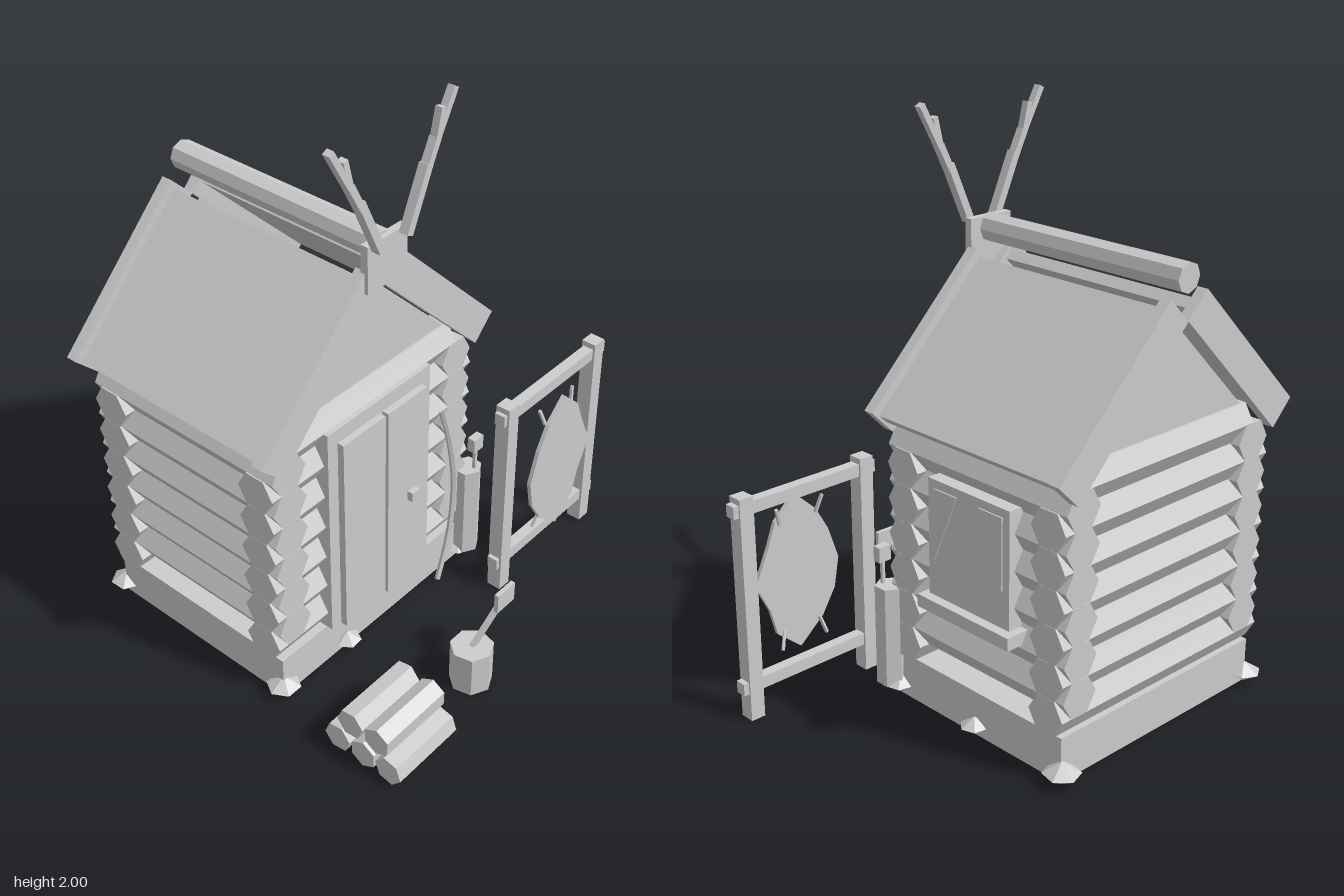
import * as THREE from 'three';

const material = new THREE.MeshStandardMaterial({ color: 0xcccccc, flatShading: true });
material.name = 'plain grey';

const CX = -0.215, CZ = -0.245; // cabin centre

export function createModel() {
  const model = new THREE.Group();
  model.name = 'logCabinCamp';

  const group = (name) => {
    const g = new THREE.Group();
    g.name = name;
    model.add(g);
    return g;
  };
  const add = (parent, name, geo, x = 0, y = 0, z = 0) => {
    const m = new THREE.Mesh(geo, material);
    m.name = name;
    m.position.set(x, y, z);
    parent.add(m);
    return m;
  };
  // box given by its limits
  const box = (parent, name, x0, x1, y0, y1, z0, z1) =>
    add(parent, name, new THREE.BoxGeometry(x1 - x0, y1 - y0, z1 - z0), (x0 + x1) / 2, (y0 + y1) / 2, (z0 + z1) / 2);
  // square bar between two points
  const bar = (parent, name, a, b, w, d = w) => {
    const p = new THREE.Vector3(...a), q = new THREE.Vector3(...b);
    const m = add(parent, name, new THREE.BoxGeometry(w, p.distanceTo(q), d));
    m.position.copy(p).add(q).multiplyScalar(0.5);
    m.quaternion.setFromUnitVectors(new THREE.Vector3(0, 1, 0), q.sub(p).normalize());
    return m;
  };
  const logX = (r, len, sides = 6, turn = 0) =>
    new THREE.CylinderGeometry(r, r, len, sides).rotateY(turn).rotateZ(Math.PI / 2);
  const logZ = (r, len, sides = 6, turn = Math.PI / 6) =>
    new THREE.CylinderGeometry(r, r, len, sides).rotateY(turn).rotateX(Math.PI / 2);
  const extrude = (pts, depth) => new THREE.ExtrudeGeometry(
    new THREE.Shape(pts.map((p) => new THREE.Vector2(...p))), { depth, bevelEnabled: false });

  // hollow plinth with raised floor
  const base = group('base');
  for (const x of [-0.68, 0.23]) box(base, 'sideSkirt', x, x + 0.02, 0, 0.16, -0.63, 0.15);
  for (const z of [-0.63, 0.13]) box(base, 'endSkirt', -0.66, 0.23, 0, 0.16, z, z + 0.02);
  box(base, 'floor', -0.66, 0.23, 0.13, 0.16, -0.61, 0.13);

  // foundation stones
  const stones = group('foundationStones');
  [[-0.67, 0.14, 0.06], [0.25, 0.14, 0.065], [-0.67, -0.635, 0.06], [0.25, -0.635, 0.065],
    [-0.375, 0.16, 0.05], [0.26, -0.245, 0.05]].forEach(([x, z, r], i) => {
    const geo = new THREE.SphereGeometry(r, 6, 2).rotateY(i * 0.8).scale(1, 0.65, 1);
    add(stones, 'stone', geo, x, 0.04, z);
  });

  // interlocked hexagonal wall logs
  const walls = group('walls');
  for (let i = 0; i < 7; i++) {
    const y = 0.227 + 0.127 * i;
    for (const s of [-1, 1]) {
      add(walls, 'crossLog', logX(0.073, i < 6 ? 0.965 : 0.8), CX, y, CZ + s * 0.33);
      if (i < 6) add(walls, 'sideLog', logZ(0.073, 0.805), CX + s * 0.405, y + 0.0635, CZ);
    }
  }

  // roof
  const roof = group('roof');
  for (const s of [-1, 1]) {
    const panel = add(roof, 'roofPanel', new THREE.BoxGeometry(0.63, 0.04, 0.8), CX + s * 0.284, 1.243, CZ);
    panel.rotation.z = -s * Math.PI / 4;
    for (const z of [0.17, -0.66]) {
      const barge = add(roof, 'bargeBoard', new THREE.BoxGeometry(0.658, 0.12, 0.04), CX + s * 0.275, 1.24, z);
      barge.rotation.z = -s * Math.PI / 4;
    }
    add(roof, 'gable', extrude([[-0.4, 1.03], [0.4, 1.03], [0, 1.43]], 0.04), CX, 0, CZ + s * 0.34 - 0.02);
  }
  add(roof, 'ridgePole', logZ(0.05, 0.86, 8, 0), CX, 1.565, CZ);

  // antlers on a plaque
  const trophy = group('antlerTrophy');
  box(trophy, 'plaque', -0.305, -0.125, 1.44, 1.605, 0.175, 0.203);
  for (const s of [-1, 1]) {
    const p = (dx, y) => [CX + s * dx, y, 0.221];
    bar(trophy, 'antlerBeam', p(0.06, 1.59), p(0.15, 1.79), 0.028, 0.034);
    bar(trophy, 'antlerTip', p(0.14, 1.765), p(0.268, 1.995), 0.022, 0.026);
    bar(trophy, 'antlerTine', p(0.145, 1.77), p(0.19, 1.86), 0.024, 0.03);
    bar(trophy, 'antlerTineTip', p(0.185, 1.84), p(0.212, 1.95), 0.02, 0.026);
  }

  // door
  const door = group('door');
  box(door, 'doorFrame', -0.465, 0.03, 0.16, 0.99, 0.06, 0.175);
  box(door, 'leftPlank', -0.42, -0.22, 0.16, 0.937, 0.17, 0.2);
  box(door, 'rightPlank', -0.207, -0.015, 0.16, 0.937, 0.17, 0.2);
  box(door, 'doorKnob', -0.107, -0.07, 0.515, 0.552, 0.2, 0.222);

  // window with drawn curtains
  const win = group('window');
  box(win, 'windowFrame', 0.2, 0.285, 0.47, 0.88, -0.43, -0.06);
  box(win, 'windowSill', 0.2, 0.32, 0.425, 0.47, -0.46, -0.04);
  for (const s of [-1, 1]) {
    const pts = [[s * 0.155, 0.85], [s * 0.05, 0.85], [s * 0.155, 0.6]];
    const curtain = add(win, 'curtain', extrude(pts, 0.006), 0.284, 0, CZ);
    curtain.rotation.y = Math.PI / 2;
  }

  // bow and quiver leaning by the wall
  const hunting = group('huntingGear');
  const bowCurve = new THREE.CatmullRomCurve3(
    [[0.08, 0.775], [0.13, 0.6], [0.158, 0.4], [0.135, 0.18], [0.08, 0.01]].map(([x, y]) => new THREE.Vector3(x, y, 0.19)));
  add(hunting, 'bow', new THREE.TubeGeometry(bowCurve, 12, 0.011, 5));
  add(hunting, 'quiver', new THREE.CylinderGeometry(0.053, 0.053, 0.37, 6), 0.265, 0.225, 0.165);
  bar(hunting, 'arrowShaft', [0.275, 0.4, 0.19], [0.275, 0.52, 0.19], 0.012);
  box(hunting, 'arrowFletching', 0.25, 0.3, 0.495, 0.55, 0.175, 0.205);

  // chopping stump and axe
  const chopping = group('choppingStump');
  add(chopping, 'stump', new THREE.CylinderGeometry(0.075, 0.075, 0.16, 7), CX, 0.08, 0.575);
  bar(chopping, 'axeHandle', [-0.225, 0.14, 0.573], [-0.105, 0.3, 0.605], 0.018);
  box(chopping, 'axeHead', -0.137, -0.047, 0.275, 0.35, 0.6, 0.616);

  // firewood
  const pile = group('firewood');
  [[0.435, 0.053], [0.543, 0.053], [0.648, 0.053], [0.49, 0.153], [0.6, 0.153]].forEach(([z, y], i) => {
    add(pile, 'firewoodLog', logX(0.053, 0.28, 6, 0.15 + i * 0.35), -0.59, y, z);
  });

  // hide stretching rack
  const rack = group('hideRack');
  for (const x of [0.217, 0.713]) box(rack, 'rackPost', x - 0.027, x + 0.027, 0, 0.81, 0.333, 0.388);
  for (const y of [0.122, 0.767]) box(rack, 'rackRail', 0.175, 0.76, y - 0.022, y + 0.022, 0.34, 0.38);
  add(rack, 'hide', extrude([[0.47, 0.73], [0.385, 0.65], [0.335, 0.56], [0.295, 0.44], [0.315, 0.33], [0.37, 0.24],
    [0.47, 0.155], [0.565, 0.235], [0.59, 0.33], [0.645, 0.44], [0.59, 0.56], [0.555, 0.65]], 0.015), 0, 0, 0.405);
  for (const s of [-1, 1]) {
    bar(rack, 'upperTie', [0.467 + s * 0.075, 0.64, 0.398], [0.467 + s * 0.095, 0.705, 0.385], 0.01);
    bar(rack, 'lowerTie', [0.467 + s * 0.075, 0.245, 0.398], [0.467 + s * 0.095, 0.18, 0.385], 0.01);
  }

  return model;
}
